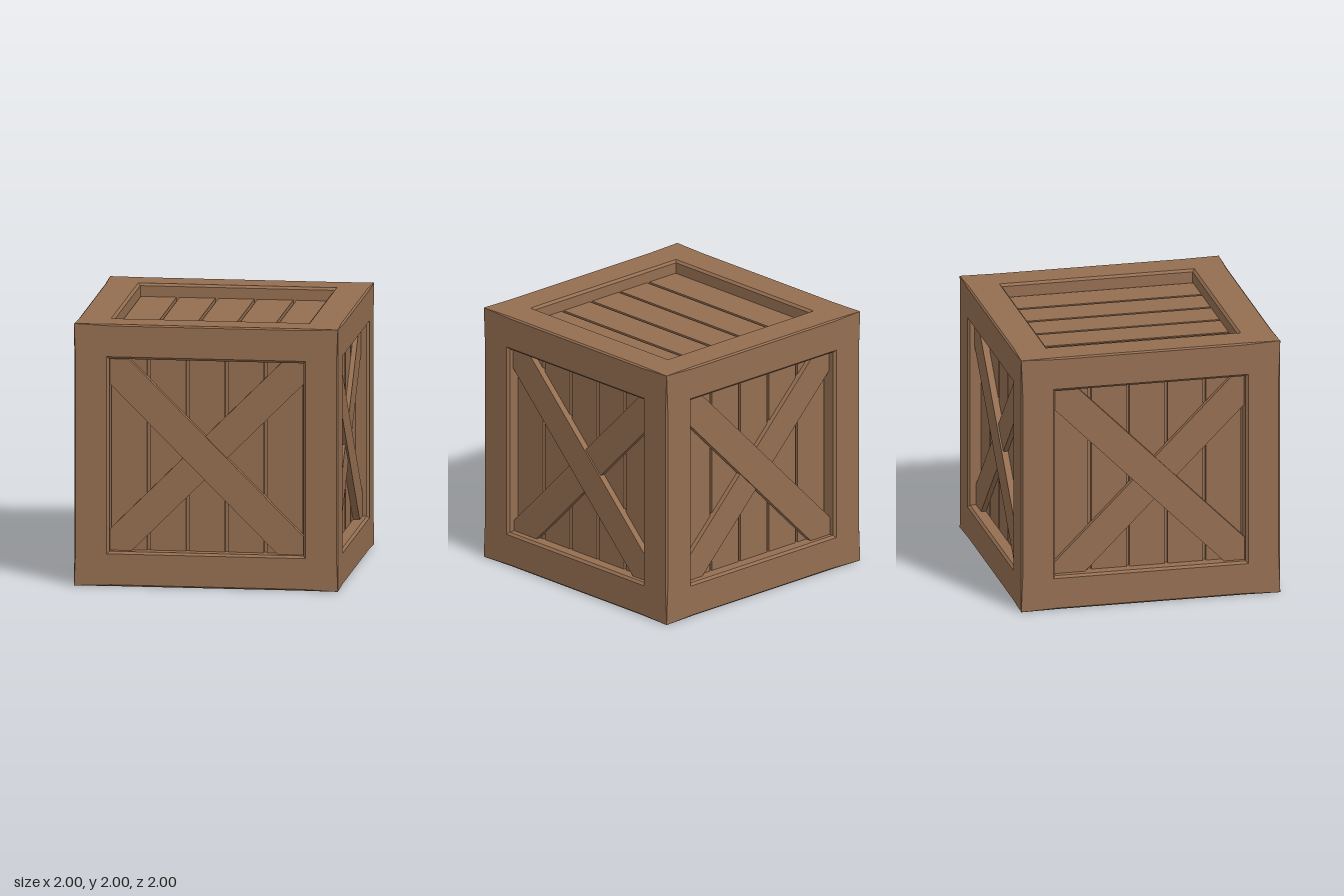
import * as THREE from 'three';

const INNER = 0.735;   // inner edge of the frame
const PANEL = 0.9;     // outer surface of the planks

const wood = new THREE.MeshStandardMaterial({ color: 0x946e51, flatShading: true });
wood.name = 'brown wood';

// Frame bar along x at the +y +z edge: chamfered section, mitred ends, sharp tips
function barGeometry() {
  const c = 0.012, b = 0.018;
  const section = [
    [1, 1 - c], [1 - c, 1], [INNER + b, 1], [INNER, 1 - b],
    [INNER, INNER], [1 - b, INNER], [1, INNER + b],
  ];
  const mid = section.map(([y, z]) => [0.72, y, z]);
  const end = section.map(([y, z], i) => (i < 2 ? [1, 1, 1] : [Math.min(y, z), y, z]));
  const flip = (ring) => ring.map(([x, y, z]) => [-x, y, z]);
  const rings = [flip(end), flip(mid), mid, end];
  const n = section.length, pos = [];
  for (let r = 0; r < 3; r++) {
    for (let i = 0; i < n; i++) {
      const j = (i + 1) % n;
      const p = rings[r][i], q = rings[r][j], s = rings[r + 1][j], t = rings[r + 1][i];
      pos.push(...p, ...q, ...s, ...p, ...s, ...t);
    }
  }
  const g = new THREE.BufferGeometry();
  g.setAttribute('position', new THREE.Float32BufferAttribute(pos, 3));
  g.computeVertexNormals();
  return g;
}

// Diagonal board clipped to the frame opening; dir 1 falls to the right, -1 rises
function braceGeometry(dir, offset, width, top) {
  const h = INNER, half = width * Math.SQRT1_2;
  const lo = offset - half, hi = offset + half;
  const pts = [[-h, lo + h], [-h, h], [hi - h, h], [h, hi - h], [h, -h], [lo + h, -h]];
  const shape = new THREE.Shape(pts.map(([x, y]) => new THREE.Vector2(x * dir, y)));
  const g = new THREE.ExtrudeGeometry(shape, { depth: top - PANEL + 0.01, bevelEnabled: false });
  return g.translate(0, 0, PANEL - 0.01);
}

function add(parent, geometry, name) {
  const m = new THREE.Mesh(geometry, wood);
  m.name = name;
  parent.add(m);
  return m;
}

// Five planks facing +z with narrow grooves between them
function plankPanel(name) {
  const panel = new THREE.Group();
  panel.name = name;
  const pitch = 0.295, gap = 0.024, depth = 0.03;
  for (let i = -2; i <= 2; i++) {
    const plank = new THREE.BoxGeometry(pitch - gap, 2 * INNER + 0.02, depth);
    add(panel, plank, 'plank').position.set(i * pitch - 0.005, 0, PANEL - depth / 2);
  }
  const backing = new THREE.BoxGeometry(2 * INNER + 0.02, 2 * INNER + 0.02, 0.04);
  add(panel, backing, 'panelBacking').position.z = PANEL - depth - 0.02;
  return panel;
}

export function createModel() {
  const model = new THREE.Group();
  model.name = 'crate';
  const body = new THREE.Group();
  body.name = 'crateBody';
  body.position.y = 1;
  model.add(body);

  // Twelve edge bars: four along each axis
  const bar = barGeometry();
  [[0, 0], [0, Math.PI / 2], [Math.PI / 2, 0]].forEach(([ry, rz]) => {
    const set = new THREE.Group();
    set.name = 'frameBars';
    set.rotation.set(0, ry, rz);
    for (let k = 0; k < 4; k++) add(set, bar, 'frameBar').rotation.x = k * Math.PI / 2;
    body.add(set);
  });

  // Four sides with crossed braces
  ['front', 'left', 'back', 'right'].forEach((side, k) => {
    const panel = plankPanel(side + 'Panel');
    const [fall, rise] = k % 2 ? [0.01, -0.08] : [-0.03, 0];
    add(panel, braceGeometry(1, fall, 0.238, 0.95), 'upperBrace');
    add(panel, braceGeometry(-1, rise, 0.232, 0.937), 'lowerBrace');
    panel.rotation.y = k * Math.PI / 2;
    body.add(panel);
  });

  // Plain planked top and bottom
  [['topPanel', -1], ['bottomPanel', 1]].forEach(([name, s]) => {
    const panel = plankPanel(name);
    panel.rotation.x = s * Math.PI / 2;
    body.add(panel);
  });

  return model;
}
